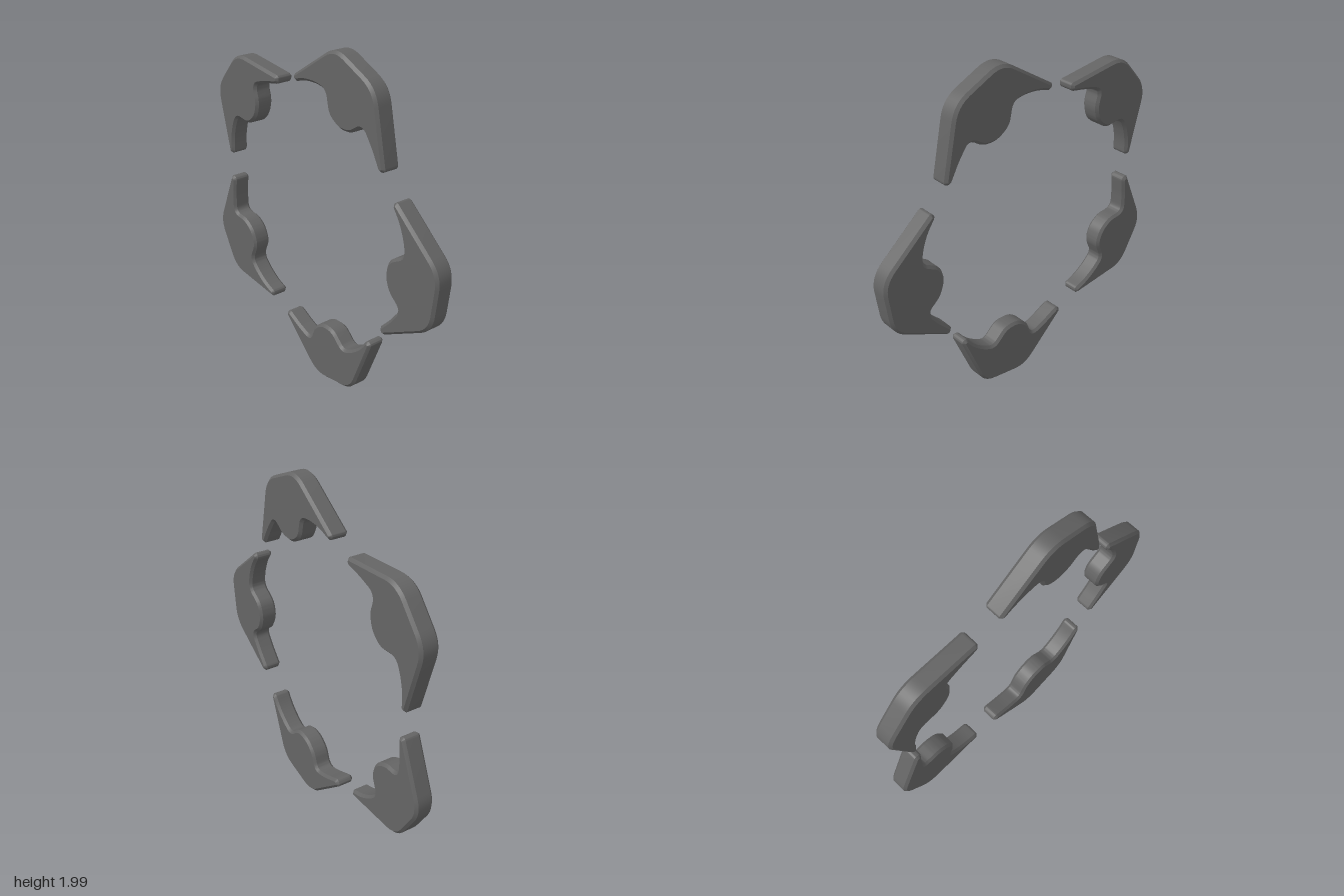
import * as THREE from 'three';
import { toCreasedNormals } from 'three/addons/utils/BufferGeometryUtils.js';

const DEPTH = 0.11, BEVEL = 0.015, COUNT = 5;

// Corners of one segment measured from the ring centre: [x, y, rounding setback]
const CORNERS = [
  [0.704, 0.358, 0.019], [1.029, 0.093, 0.09],    // upper tip, outer shoulder
  [0.995, -0.235, 0.09], [0.643, -0.441, 0.02],   // outer shoulder, lower tip
  [0.619, -0.405, 0.02], [0.698, -0.318, 0.03],   // lower horn inside
  [0.767, -0.224, 0.045], [0.680, -0.158, 0.04],  // notch, inner lobe
  [0.647, -0.071, 0.04], [0.671, 0.026, 0.045],   // inner lobe
  [0.780, 0.090, 0.037], [0.767, 0.167, 0.03],    // notch
  [0.733, 0.257, 0.05], [0.679, 0.328, 0.019],    // upper horn inside
];

// Closed outline whose corners are softened by curves
function roundedShape(corners) {
  const shape = new THREE.Shape();
  const n = corners.length;
  const point = (i) => new THREE.Vector2(corners[(i + n) % n][0], corners[(i + n) % n][1]);
  for (let i = 0; i < n; i++) {
    const c = point(i), d = corners[i][2];
    const a = point(i - 1).sub(c).setLength(d).add(c);
    const b = point(i + 1).sub(c).setLength(d).add(c);
    if (i === 0) shape.moveTo(a.x, a.y);
    else shape.lineTo(a.x, a.y);
    shape.quadraticCurveTo(c.x, c.y, b.x, b.y);
  }
  shape.closePath();
  return shape;
}

export function createModel() {
  const model = new THREE.Group();
  model.name = 'segmentedRing';
  const material = new THREE.MeshStandardMaterial({ color: 0x646464 });

  // Flat plate with chamfered rims, centred on z = 0
  const plate = new THREE.ExtrudeGeometry(roundedShape(CORNERS), {
    depth: DEPTH - 2 * BEVEL, curveSegments: 8,
    bevelEnabled: true, bevelSize: BEVEL, bevelOffset: -BEVEL,
    bevelThickness: BEVEL, bevelSegments: 1,
  });
  plate.translate(0, 0, BEVEL - DEPTH / 2);
  const geometry = toCreasedNormals(plate, 0.5);

  // Five equal segments around the ring centre
  const ring = new THREE.Group();
  ring.name = 'ring';
  ring.position.set(-0.05, 1.01, 0);
  for (let i = 0; i < COUNT; i++) {
    const segment = new THREE.Mesh(geometry, material);
    segment.name = `ringSegment${i + 1}`;
    segment.rotation.z = (i * 2 * Math.PI) / COUNT;
    ring.add(segment);
  }
  model.add(ring);
  return model;
}
